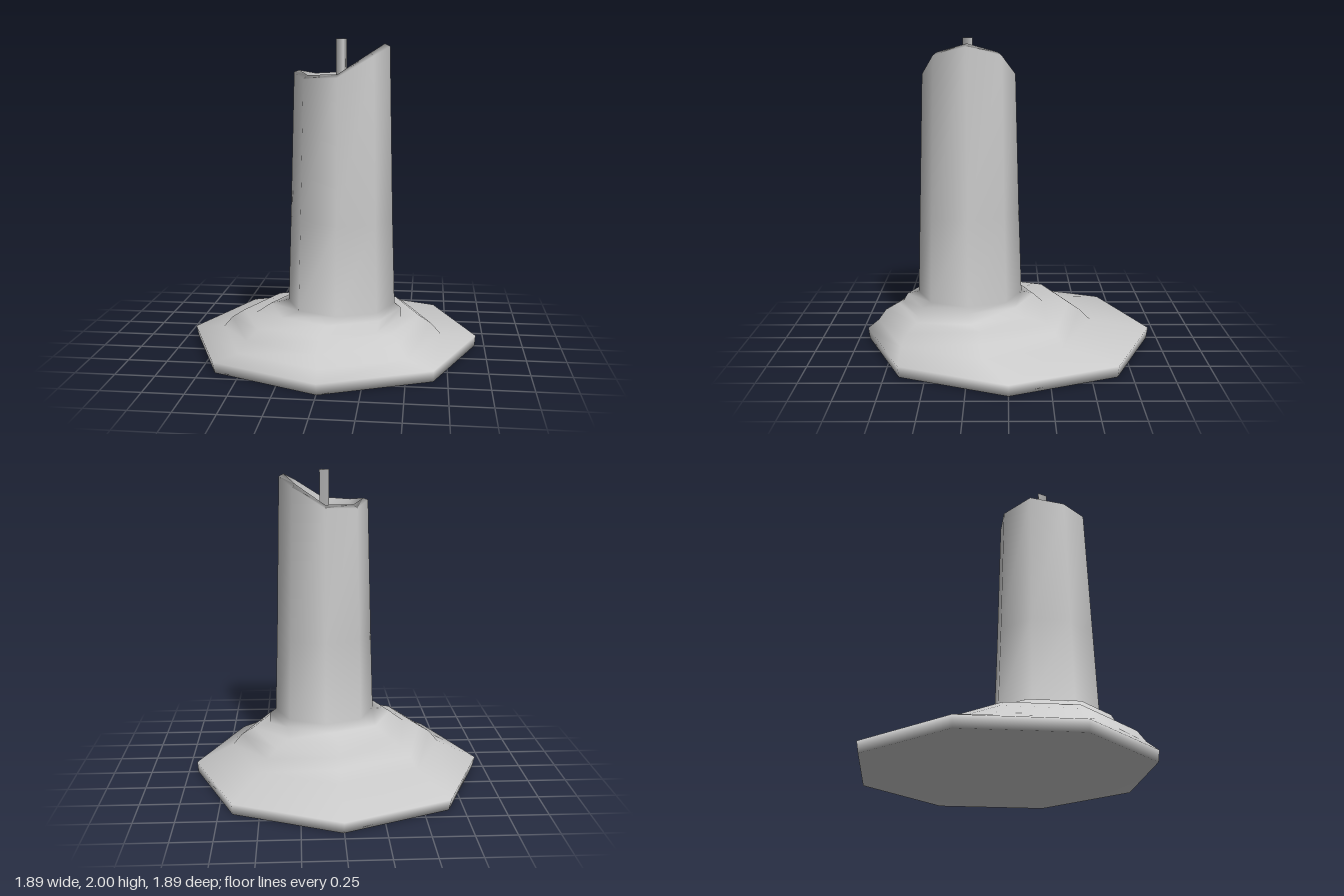
import * as THREE from 'three';

const SIDES = 8;
const grey = new THREE.MeshStandardMaterial({ color: 0xcccccc });

// Skin over stacked octagonal rings [centreX, centreZ, radius, y], y being one height or one per corner.
function loft(rings) {
  const pos = [], index = [];
  for (const [cx, cz, r, y] of rings) {
    for (let k = 0; k < SIDES; k++) {
      const a = (k / SIDES) * Math.PI * 2;
      pos.push(cx + r * Math.cos(a), Array.isArray(y) ? y[k] : y, cz + r * Math.sin(a));
    }
  }
  for (let i = 0; i < rings.length - 1; i++) {
    for (let k = 0; k < SIDES; k++) {
      const a = i * SIDES + k, b = i * SIDES + (k + 1) % SIDES;
      index.push(a, a + SIDES, b, b, a + SIDES, b + SIDES);
    }
  }
  // underside
  for (let k = 1; k < SIDES - 1; k++) index.push(0, k, k + 1);
  const g = new THREE.BufferGeometry();
  g.setAttribute('position', new THREE.Float32BufferAttribute(pos, 3));
  g.setIndex(index);
  g.computeVertexNormals();
  return g;
}

// Rim heights, mirrored front to back, from the tall +x side to the low -x side.
const mirrored = ([a, b, c, d, e]) => [a, b, c, d, e, d, c, b];

export function createModel() {
  const group = new THREE.Group();
  const add = (name, geometry) => {
    const mesh = new THREE.Mesh(geometry, grey);
    mesh.name = name;
    group.add(mesh);
    return mesh;
  };
  const cx = 0.077, cz = 0.25, floorY = 1.62;

  add('candleBody', loft([
    // spread wax foot
    [0.005, 0, 0.932, 0],
    [0, 0, 0.943, 0.07],
    // melted shoulders
    [0, 0.16, 0.71, 0.13],
    [0, 0.17, 0.65, 0.2],
    [0, 0.165, 0.57, 0.25],
    // collar
    [-0.01, 0.237, 0.466, 0.257],
    [0.038, 0.25, 0.417, 0.325],
    [cx, cz, 0.338, 0.355],
    // column and slanted rim
    [cx, cz, 0.32, 0.9],
    [cx, cz - 0.003, 0.294, mirrored([1.955, 1.9, 1.775, 1.765, 1.8])],
    [cx, cz - 0.003, 0.262, mirrored([1.972, 1.918, 1.795, 1.788, 1.812])],
    // hollow
    [cx, cz - 0.003, 0.255, floorY],
  ]));

  const pool = add('waxPool', new THREE.CircleGeometry(0.256, SIDES).rotateX(-Math.PI / 2));
  pool.position.set(cx, floorY, cz - 0.003);

  // three-sided wick
  const wickHeight = 2 - floorY;
  const wick = add('wick', new THREE.CylinderGeometry(0.038, 0.038, wickHeight, 3));
  wick.rotation.y = 0.28;
  wick.position.set(cx + 0.002, floorY + wickHeight / 2, cz - 0.003);

  return group;
}
